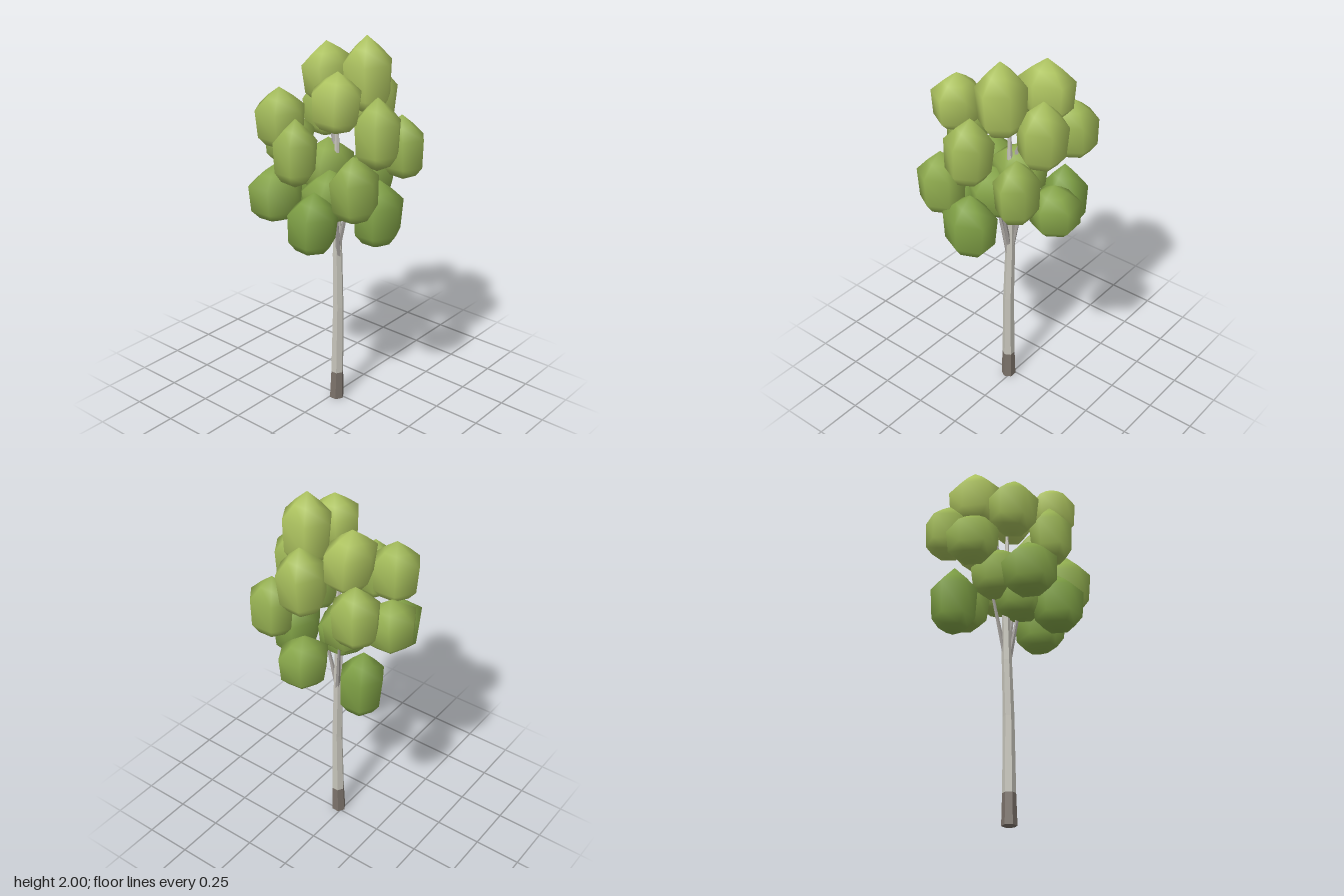
import * as THREE from 'three';
import { mergeVertices } from 'three/addons/utils/BufferGeometryUtils.js';

// Tapered low-poly tube through a list of [x, y, z, radius] sections, closed at both ends
function limb(name, sections, sides, color) {
  const pos = [], index = [];
  for (const [x, y, z, r] of sections) {
    for (let i = 0; i < sides; i++) {
      const a = (i / sides) * Math.PI * 2;
      pos.push(x + Math.sin(a) * r, y, z + Math.cos(a) * r);
    }
  }
  for (let s = 0; s < sections.length - 1; s++) {
    for (let i = 0; i < sides; i++) {
      const a = s * sides + i, b = s * sides + (i + 1) % sides;
      index.push(a, b, b + sides, a, b + sides, a + sides);
    }
  }
  const last = (sections.length - 1) * sides;
  for (let i = 1; i < sides - 1; i++) {
    index.push(0, i + 1, i, last, last + i, last + i + 1);
  }
  const geo = new THREE.BufferGeometry();
  geo.setAttribute('position', new THREE.Float32BufferAttribute(pos, 3));
  geo.setIndex(index);
  geo.computeVertexNormals();
  const mesh = new THREE.Mesh(geo, new THREE.MeshStandardMaterial({ color, flatShading: true }));
  mesh.name = name;
  return mesh;
}

// Leaf clumps: centre x, y, z, then half width x, half height, half depth z
const CLUMPS = [
  [0.055, 1.805, 0.155, 0.105, 0.195, 0.13],
  [-0.2, 1.73, 0.175, 0.105, 0.15, 0.13],
  [0.1, 1.76, -0.13, 0.13, 0.16, 0.115],
  [0.22, 1.635, 0.06, 0.11, 0.185, 0.125],
  [-0.19, 1.58, -0.19, 0.11, 0.16, 0.13],
  [-0.035, 1.56, 0.29, 0.105, 0.18, 0.12],
  [0.195, 1.54, -0.23, 0.105, 0.16, 0.125],
  [-0.295, 1.47, 0, 0.095, 0.17, 0.11],
  [0.22, 1.42, 0.25, 0.092, 0.17, 0.125],
  [-0.01, 1.41, -0.295, 0.12, 0.14, 0.125],
  [-0.21, 1.33, 0.295, 0.11, 0.17, 0.115],
  [0, 1.32, -0.05, 0.13, 0.145, 0.125],
  [0.27, 1.225, 0.02, 0.12, 0.14, 0.125],
  [-0.265, 1.22, -0.16, 0.125, 0.15, 0.13],
  [-0.09, 1.2, 0.04, 0.13, 0.14, 0.13],
  [-0.03, 1.155, 0.3, 0.125, 0.175, 0.115],
  [0.145, 1.125, -0.235, 0.105, 0.185, 0.115],
  [-0.275, 1.125, 0.09, 0.115, 0.165, 0.125],
];

// Six-sided bud with a pointed crown and a broad underside, smooth over all its faces
function clumpGeometry() {
  const profile = [[0, -1], [0.62, -0.8], [0.92, -0.52], [1, 0.34], [0.52, 0.69], [0, 1]]
    .map(([r, y]) => new THREE.Vector2(r, y));
  const lathe = new THREE.LatheGeometry(profile, 6);
  lathe.deleteAttribute('normal');
  lathe.deleteAttribute('uv');
  const geo = mergeVertices(lathe, 1e-4);
  geo.computeVertexNormals();
  return geo;
}

// Steep thin branches: start point, then end point
const BRANCHES = [
  [-0.01, 0.84, 0.03, -0.07, 1.2, 0.06],
  [0.0, 0.86, 0.02, 0.05, 1.22, -0.03],
  [-0.006, 0.9, 0.03, 0.0, 1.16, 0.09],
  [-0.006, 1.36, 0.015, 0.06, 1.66, -0.1],
];

export function createModel() {
  const model = new THREE.Group();
  model.name = 'tree';

  // Trunk with dark bark at its foot, ending in a thin spike
  model.add(limb('trunkBase', [[-0.016, 0, 0.024, 0.039], [-0.014, 0.16, 0.026, 0.034]], 6, 0x7b726a));
  model.add(limb('trunk', [
    [-0.014, 0.16, 0.026, 0.034], [-0.01, 0.55, 0.029, 0.029], [-0.006, 0.85, 0.02, 0.026],
    [-0.004, 1.1, 0.016, 0.021], [-0.008, 1.4, 0.018, 0.014], [-0.01, 1.7, 0.02, 0.004],
  ], 6, 0xc6c4ba));

  // Leaf clumps, lighter towards the crown
  const geo = clumpGeometry();
  const low = new THREE.Color(0x7b9d43), high = new THREE.Color(0xaec460);
  const crown = new THREE.Group();
  crown.name = 'crown';
  CLUMPS.forEach(([x, y, z, hx, hy, hz], i) => {
    const color = low.clone().lerp(high, THREE.MathUtils.clamp((y - 1.1) / 0.65, 0, 1));
    const clump = new THREE.Mesh(geo, new THREE.MeshStandardMaterial({ color }));
    clump.name = 'leafClump';
    clump.position.set(x, y, z);
    clump.scale.set(hx / 0.866, hy, hz);
    clump.rotation.set(Math.sin(i * 2.3) * 0.04, Math.sin(i * 1.7) * 0.06, Math.cos(i * 3.1) * 0.04);
    crown.add(clump);
  });
  model.add(crown);

  // Branches hugging the trunk and vanishing into the leaves
  const branches = new THREE.Group();
  branches.name = 'branches';
  for (const [x0, y0, z0, x1, y1, z1] of BRANCHES) {
    branches.add(limb('branch', [[x0, y0, z0, 0.014], [x1, y1, z1, 0.007]], 5, 0xa5a19d));
  }
  model.add(branches);
  return model;
}
